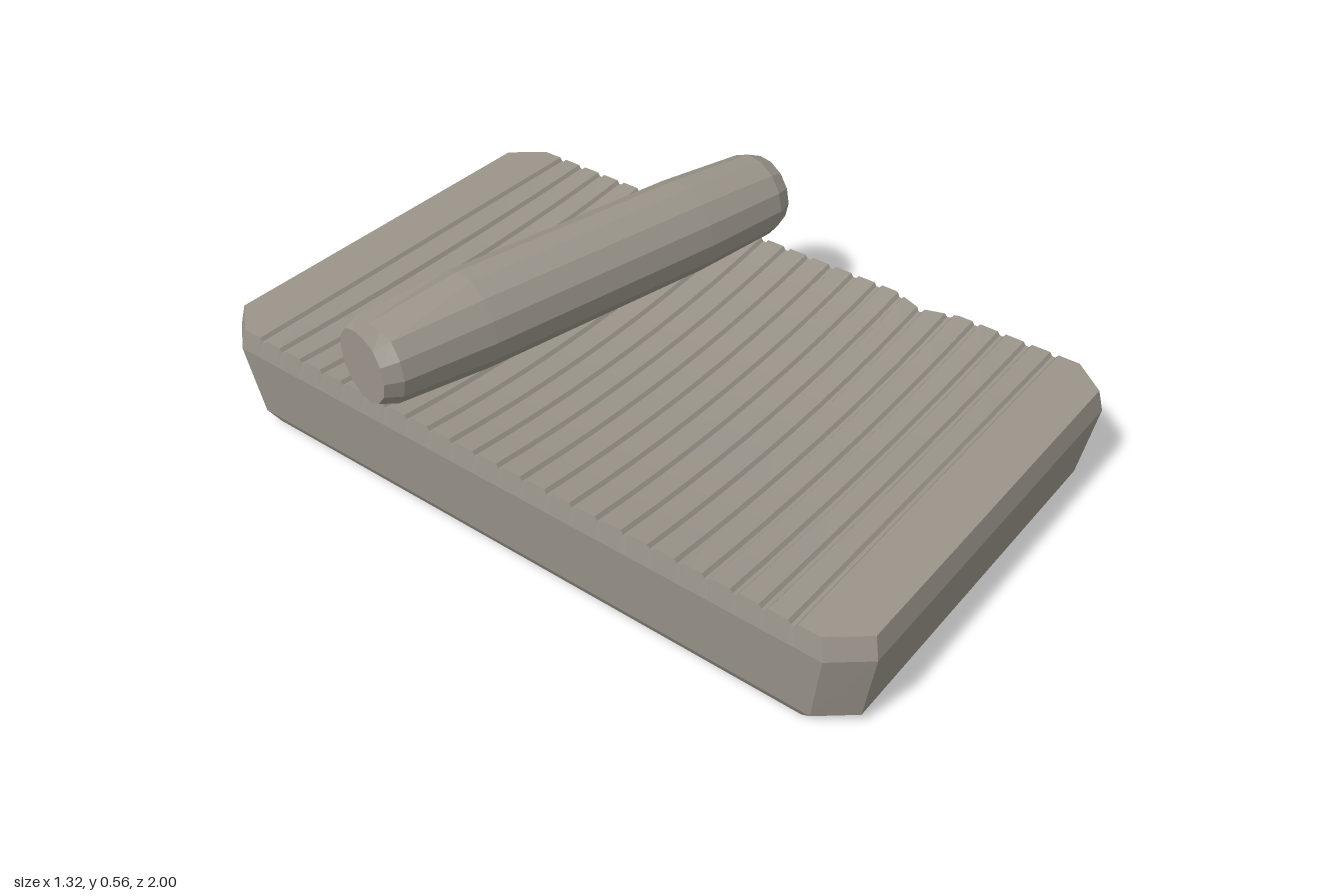
import * as THREE from 'three';

const stone = new THREE.MeshStandardMaterial({ color: 0x9a948a, flatShading: true });
stone.name = 'grey stone';

const PITCH = 0.0762, GROOVES = 11; // groove spacing, and grooves each side of the middle

// Piecewise linear interpolation over [z, value] pairs
function along(table, z) {
  for (let i = 1; i < table.length; i++) {
    const [z0, v0] = table[i - 1], [z1, v1] = table[i];
    if (z <= z1) return v0 + (v1 - v0) * (z - z0) / (z1 - z0);
  }
  return table[table.length - 1][1];
}

// Slab plan: cut corners on both sides, a small nick in the left edge
const leftEdge = [[-1, 0.535], [-0.91, 0.61], [0.36, 0.61], [0.457, 0.575], [0.56, 0.61], [0.91, 0.61], [1, 0.535]];
const rightEdge = [[-1, -0.535], [-0.91, -0.61], [0.91, -0.61], [1, -0.535]];

// Worn hollow plus cross grooves on the grinding face
function topHeight(z, t) {
  const u = 2 * t - 1, v = Math.min(1, Math.abs(z) / 0.84);
  const k = Math.round(z / PITCH);
  const d = Math.abs(z - k * PITCH);
  const groove = Math.abs(k) <= GROOVES && d < 0.008 ? 0.01 : 0;
  return 0.3 - 0.04 * (1 - u * u) * (1 - v ** 4) - groove;
}

function slabGeometry() {
  // Levels: height, plan scale in x and z
  const levels = [[0, 0.935, 0.93], [0.035, 0.967, 0.966], [0.24, 1, 1], [0.3, 0.985, 0.986]];
  const stations = [1, 0.91, 0.56, 0.36, -0.91, -1];
  for (let k = -GROOVES; k <= GROOVES; k++)
    for (const d of [-0.012, -0.005, 0, 0.005, 0.012]) stations.push(k * PITCH + d);
  stations.sort((a, b) => b - a);

  const point = (level, z, t) => {
    const [y, sx, sz] = levels[level];
    const x = THREE.MathUtils.lerp(along(rightEdge, z), along(leftEdge, z), t);
    return [x * sx, level === 3 ? topHeight(z, t) : y, z * sz];
  };
  const pos = [];
  const quad = (a, b, c, d) => pos.push(...a, ...b, ...c, ...a, ...c, ...d);

  // Side walls: a loop round the outline, level by level
  const loop = [...stations.map(z => [z, 1]), ...stations.slice().reverse().map(z => [z, 0])];
  for (let l = 0; l < 3; l++)
    loop.forEach(([z, t], i) => {
      const [z2, t2] = loop[(i + 1) % loop.length];
      const steps = t === t2 ? 1 : 10; // end walls follow the top grid
      for (let s = 0; s < steps; s++) {
        const ta = t + (t2 - t) * s / steps, tb = t + (t2 - t) * (s + 1) / steps;
        const za = steps === 1 ? z : z2;
        quad(point(l, za, ta), point(l, z2, tb), point(l + 1, z2, tb), point(l + 1, za, ta));
      }
    });

  // Grinding face and underside
  const N = 10;
  for (let j = 0; j < stations.length - 1; j++) {
    const a = stations[j], b = stations[j + 1];
    for (let i = 0; i < N; i++) {
      const t = i / N, t2 = (i + 1) / N;
      quad(point(3, a, t), point(3, a, t2), point(3, b, t2), point(3, b, t));
    }
    quad(point(0, a, 0), point(0, b, 0), point(0, b, 1), point(0, a, 1));
  }
  const g = new THREE.BufferGeometry();
  g.setAttribute('position', new THREE.Float32BufferAttribute(pos, 3));
  g.computeVertexNormals();
  return g;
}

function rollerGeometry() {
  // Slightly barrelled bar with chamfered ends
  const profile = [[0, -0.655], [0.1, -0.655], [0.119, -0.61], [0.132, -0.35],
    [0.132, 0.35], [0.119, 0.61], [0.1, 0.655], [0, 0.655]];
  const g = new THREE.LatheGeometry(profile.map(p => new THREE.Vector2(...p)), 14);
  g.rotateZ(-Math.PI / 2);
  // Chipped upper edge at one end
  const p = g.attributes.position;
  for (let i = 0; i < p.count; i++)
    if (p.getX(i) < -0.6 && p.getZ(i) > -0.03) p.setY(i, Math.min(p.getY(i), 0.092));
  g.computeVertexNormals();
  return g;
}

export function createModel() {
  const model = new THREE.Group();
  model.name = 'grindingStone';

  const slab = new THREE.Mesh(slabGeometry(), stone);
  slab.name = 'groovedSlab';

  const roller = new THREE.Mesh(rollerGeometry(), stone);
  roller.name = 'handRoller';
  roller.position.set(0, 0.432, -0.255);
  roller.rotation.y = -0.223;

  model.add(slab, roller);
  return model;
}
